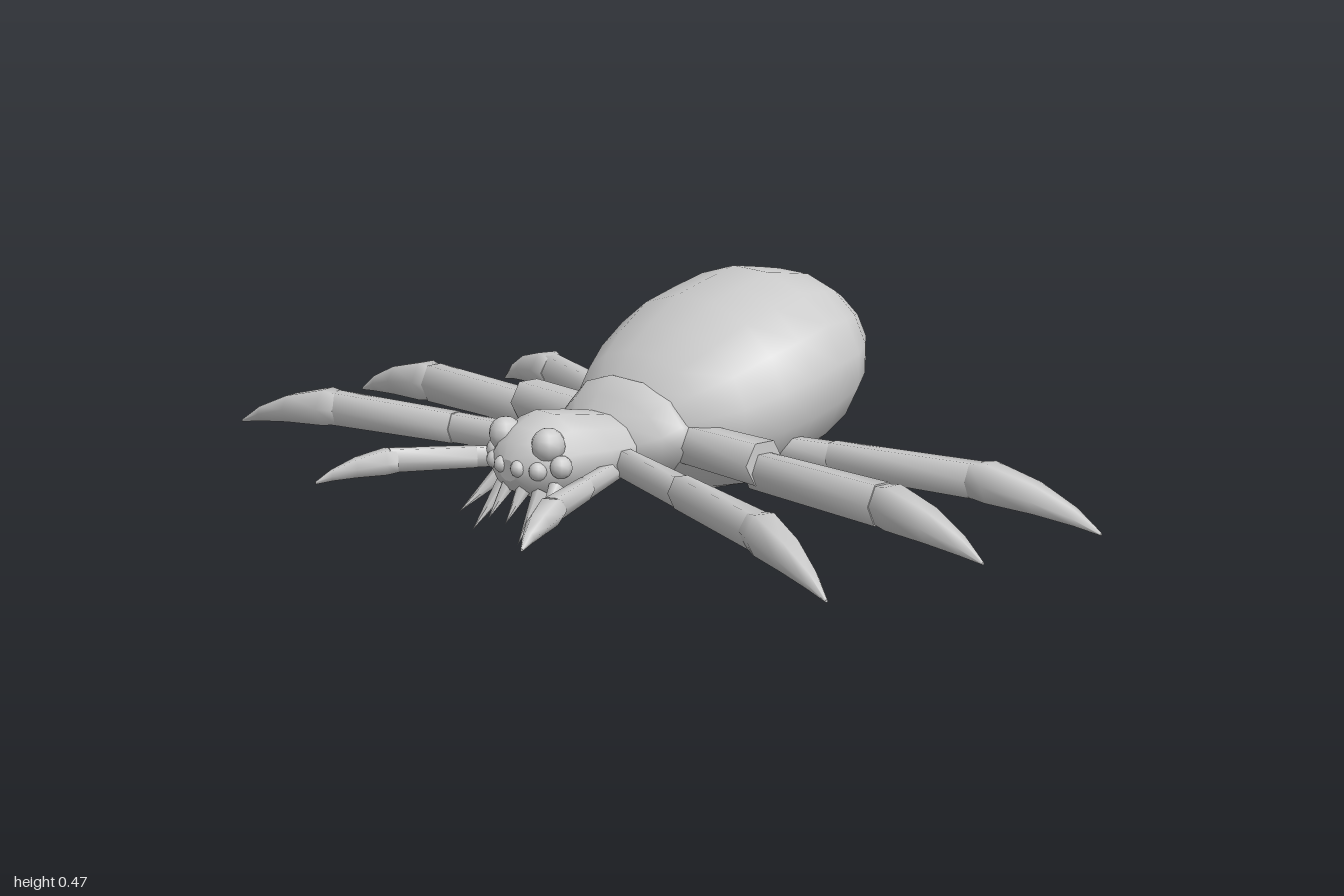
import * as THREE from 'three';

const material = new THREE.MeshStandardMaterial({ color: 0xcccccc, side: THREE.DoubleSide });

// Skins elliptical rings [z, yCentre, radiusX, radiusY], listed by rising z, with capped ends
function loft(rings, sides, phase = 0) {
  const pos = [], idx = [];
  const addRing = ([z, yc, rx, ry]) => {
    const start = pos.length / 3;
    for (let i = 0; i < sides; i++) {
      const a = phase + (i / sides) * Math.PI * 2;
      pos.push(Math.cos(a) * rx, yc + Math.sin(a) * ry, z);
    }
    return start;
  };
  const starts = rings.map(addRing);
  for (let r = 0; r < rings.length - 1; r++) {
    for (let i = 0; i < sides; i++) {
      const j = (i + 1) % sides, a = starts[r], b = starts[r + 1];
      idx.push(a + i, a + j, b + j, a + i, b + j, b + i);
    }
  }
  [rings[0], rings[rings.length - 1]].forEach((ring, end) => {
    const s = addRing(ring), c = pos.length / 3;
    pos.push(0, ring[1], ring[0]);
    for (let i = 0; i < sides; i++) {
      const j = (i + 1) % sides;
      if (end) idx.push(c, s + i, s + j);
      else idx.push(c, s + j, s + i);
    }
  });
  const g = new THREE.BufferGeometry();
  g.setAttribute('position', new THREE.Float32BufferAttribute(pos, 3));
  g.setIndex(idx);
  g.computeVertexNormals();
  return g;
}

// Rings given as [z, top, bottom, halfWidth]
const body = (rows, sides) =>
  loft(rows.map(([z, t, b, w]) => [z, (t + b) / 2, w, (t - b) / 2]), sides, Math.PI / sides);

function add(parent, name, geometry) {
  const m = new THREE.Mesh(geometry, material);
  m.name = name;
  parent.add(m);
  return m;
}

// Leg of straight segments and a drooping pointed claw, running outwards from a hip.
// segments: [start, end, yCentre, halfWidth, halfHeight]; claw: [start, end, yCentre, halfWidth, halfHeight, droop]
function makeLeg(name, hip, tip, segments, claw) {
  const leg = new THREE.Group();
  leg.name = name;
  leg.position.set(hip[0], 0, hip[1]);
  leg.rotation.y = Math.atan2(tip[0] - hip[0], tip[1] - hip[1]);
  const length = Math.hypot(tip[0] - hip[0], tip[1] - hip[1]);
  segments.forEach(([s, e, y, w, h], i) => {
    add(leg, 'legSegment' + (i + 1),
      loft([[s * length, y, w * 0.88, h * 0.9], [e * length, y, w, h]], 6));
  });
  const [s, e, y, w, h, droop] = claw;
  const at = (t) => (s + (e - s) * t) * length;
  add(leg, 'claw', loft([
    [at(0), y, w * 0.85, h * 0.85],
    [at(0.14), y, w * 1.05, h],
    [at(0.5), y - droop * 0.25, w * 0.85, h * 0.75],
    [at(0.8), y - droop * 0.62, w * 0.42, h * 0.42],
    [at(1), y - droop, 0.003, 0.003],
  ], 6));
  return leg;
}

export function createModel() {
  const spider = new THREE.Group();
  spider.name = 'spider';

  // Egg-shaped abdomen, rising to the back
  add(spider, 'abdomen', body([
    [-0.567, 0.39, 0.35, 0.03], [-0.555, 0.4, 0.285, 0.105], [-0.515, 0.43, 0.19, 0.18],
    [-0.465, 0.46, 0.14, 0.23], [-0.42, 0.468, 0.1, 0.258], [-0.34, 0.48, 0.063, 0.287],
    [-0.26, 0.458, 0.04, 0.292], [-0.18, 0.435, 0.025, 0.287], [-0.1, 0.385, 0.032, 0.255],
    [-0.03, 0.335, 0.06, 0.205], [0.01, 0.28, 0.09, 0.15],
  ], 16));

  // Collar between abdomen and head
  add(spider, 'thorax', body([
    [-0.06, 0.25, 0.08, 0.15], [-0.02, 0.28, 0.08, 0.18], [0.01, 0.288, 0.082, 0.185],
    [0.05, 0.255, 0.085, 0.168], [0.08, 0.222, 0.09, 0.12],
  ], 12));

  add(spider, 'head', body([
    [0.03, 0.21, 0.095, 0.11], [0.08, 0.225, 0.083, 0.12], [0.15, 0.238, 0.068, 0.127],
    [0.225, 0.248, 0.06, 0.122], [0.28, 0.222, 0.075, 0.1], [0.31, 0.195, 0.09, 0.075],
    [0.325, 0.16, 0.115, 0.03],
  ], 12));

  const eyes = [
    [0.07, 0.195, 0.275, 0.036], [0.105, 0.155, 0.27, 0.024],
    [0.07, 0.145, 0.302, 0.02], [0.027, 0.145, 0.318, 0.018],
  ];
  // Fang base and tip
  const fangs = [
    [[0.025, 0.105, 0.3], [0.028, 0.035, 0.355], 0.017],
    [[0.06, 0.095, 0.285], [0.075, 0.003, 0.36], 0.02],
    [[0.09, 0.11, 0.27], [0.127, 0.03, 0.355], 0.019],
  ];

  for (const side of [1, -1]) {
    const label = side > 0 ? 'left' : 'right';

    for (const [x, y, z, r] of eyes) {
      add(spider, label + 'Eye', new THREE.SphereGeometry(r, 10, 8)).position.set(side * x, y, z);
    }

    for (const [base, tip, r] of fangs) {
      const a = new THREE.Vector3(side * base[0], base[1], base[2]);
      const b = new THREE.Vector3(side * tip[0], tip[1], tip[2]);
      const d = b.clone().sub(a);
      const fang = add(spider, label + 'Fang', new THREE.ConeGeometry(r, d.length(), 6));
      fang.position.copy(a).lerp(b, 0.5);
      fang.quaternion.setFromUnitVectors(new THREE.Vector3(0, 1, 0), d.normalize());
    }

    // Three walking legs and a short feeler on each side
    spider.add(
      makeLeg(label + 'FrontLeg', [side * 0.08, 0.1], [side * 0.955, 0.337],
        [[0, 0.35, 0.14, 0.028, 0.036], [0.33, 0.7, 0.14, 0.034, 0.042]],
        [0.68, 1, 0.14, 0.04, 0.046, 0.065]),
      makeLeg(label + 'MiddleLeg', [side * 0.08, -0.035], [side * 0.998, -0.027],
        [[0, 0.33, 0.168, 0.05, 0.05], [0.3, 0.7, 0.15, 0.038, 0.048]],
        [0.69, 1, 0.15, 0.04, 0.05, 0.06]),
      makeLeg(label + 'BackLeg', [side * 0.15, -0.2], [side * 0.95, -0.412],
        [[0, 0.28, 0.14, 0.028, 0.036], [0.25, 0.68, 0.14, 0.034, 0.042]],
        [0.65, 1, 0.14, 0.042, 0.046, 0.07]),
      makeLeg(label + 'Feeler', [side * 0.09, 0.11], [side * 0.345, 0.562],
        [[0, 0.4, 0.125, 0.02, 0.025], [0.35, 0.7, 0.125, 0.024, 0.028]],
        [0.67, 1, 0.123, 0.031, 0.03, 0.04]),
    );
  }
  return spider;
}
